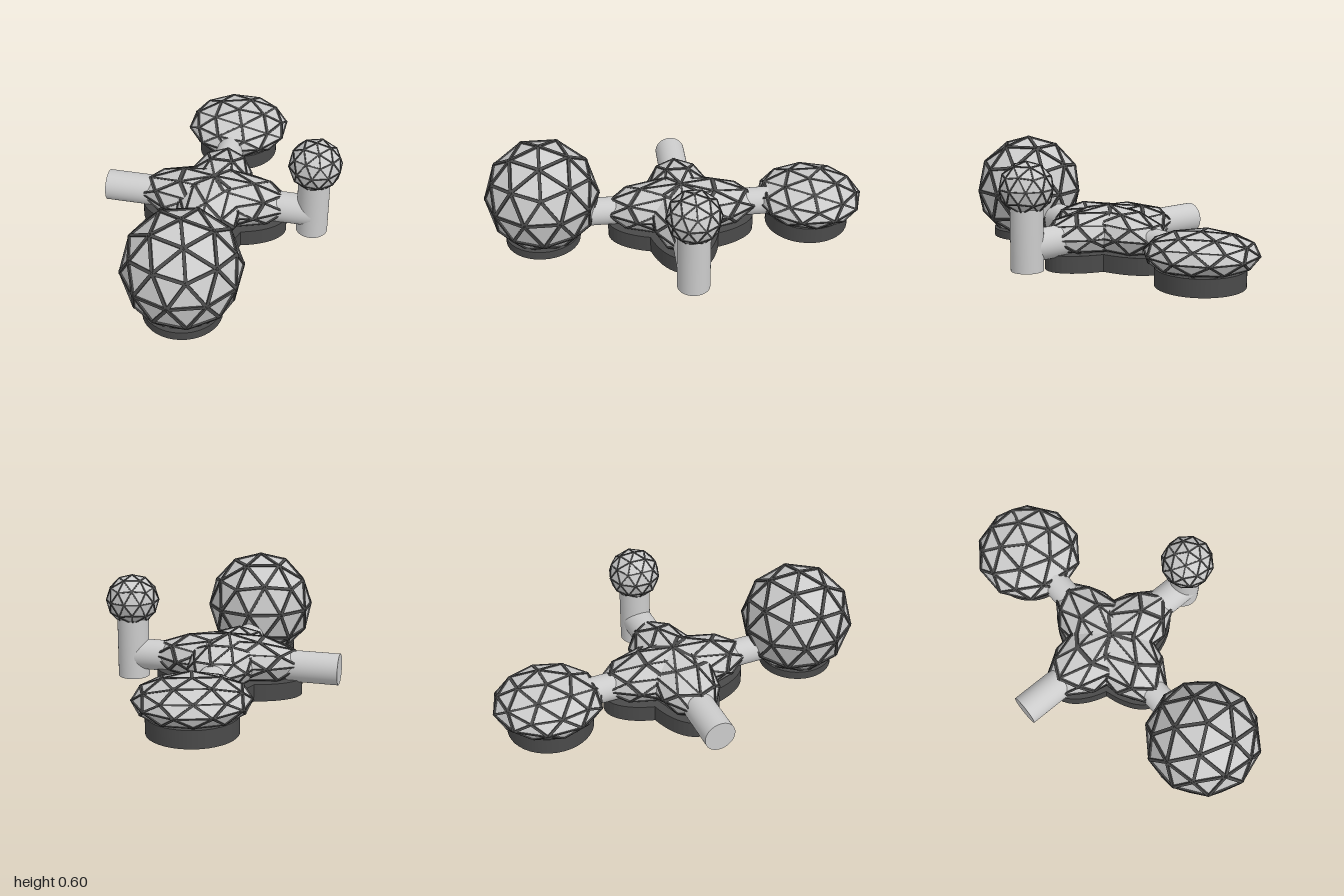
import * as THREE from 'three';
import { mergeGeometries } from 'three/addons/utils/BufferGeometryUtils.js';

const panelMat = new THREE.MeshStandardMaterial({ color: 0xcccccc, flatShading: true });
const tubeMat = new THREE.MeshStandardMaterial({ color: 0xcccccc });
const darkMat = new THREE.MeshStandardMaterial({ color: 0x4a4a4a });

// Unit geodesic sphere with a vertex at the top
function makePanels() {
  const geo = new THREE.IcosahedronGeometry(1, 1);
  geo.rotateZ(-Math.atan(2 / (1 + Math.sqrt(5))));
  return geo;
}

// One square bar along every edge of the unit sphere
function makeStruts(panels) {
  const p = new THREE.EdgesGeometry(panels, 1).attributes.position;
  const bars = [];
  const a = new THREE.Vector3(), b = new THREE.Vector3(), m = new THREE.Matrix4();
  for (let i = 0; i < p.count; i += 2) {
    a.fromBufferAttribute(p, i);
    b.fromBufferAttribute(p, i + 1);
    const along = b.clone().sub(a);
    const mid = a.clone().add(b).multiplyScalar(0.5);
    const length = along.length();
    along.normalize();
    const out = mid.clone().normalize();
    const side = new THREE.Vector3().crossVectors(along, out);
    const bar = new THREE.BoxGeometry(0.055, length, 0.05);
    m.makeBasis(side, along, out).setPosition(mid.addScaledVector(out, -0.022));
    bars.push(bar.applyMatrix4(m));
  }
  return mergeGeometries(bars);
}

const panelGeo = makePanels();
const strutGeo = makeStruts(panelGeo);

function dome(name, position, scale, turn = 0) {
  const group = new THREE.Group();
  group.name = name;
  const panels = new THREE.Mesh(panelGeo, panelMat);
  panels.name = name + 'Panels';
  panels.scale.setScalar(0.98);
  const struts = new THREE.Mesh(strutGeo, darkMat);
  struts.name = name + 'Struts';
  group.add(panels, struts);
  group.position.set(...position);
  group.scale.set(...scale);
  group.rotation.y = turn;
  return group;
}

// Cylinder between two points
function cylinder(name, from, to, radius, material) {
  const a = new THREE.Vector3(...from), b = new THREE.Vector3(...to);
  const dir = b.clone().sub(a);
  const mesh = new THREE.Mesh(new THREE.CylinderGeometry(radius, radius, dir.length(), 40), material);
  mesh.name = name;
  mesh.position.copy(a).add(b).multiplyScalar(0.5);
  mesh.quaternion.setFromUnitVectors(new THREE.Vector3(0, 1, 0), dir.normalize());
  return mesh;
}

// Four-lobed plinth: outline of two crossed ellipses
function crossBase(length, width, height) {
  const pts = [];
  for (let i = 0; i < 96; i++) {
    const t = (i / 96) * Math.PI * 2, c = Math.cos(t), s = Math.sin(t);
    const r = Math.max(1 / Math.hypot(c / length, s / width), 1 / Math.hypot(c / width, s / length));
    pts.push(new THREE.Vector2(c * r, s * r));
  }
  const geo = new THREE.ExtrudeGeometry(new THREE.Shape(pts), { depth: height, bevelEnabled: false });
  geo.rotateX(-Math.PI / 2);
  return new THREE.Mesh(geo, darkMat);
}

export function createModel() {
  const model = new THREE.Group();
  model.name = 'domeBase';

  // Central hub: two crossed stretched domes on a plinth
  const hub = [-0.04, 0.185, -0.025];
  const arm = [0.415, 0.135, 0.195];
  model.add(dome('hubSideArm', hub, arm), dome('hubLongArm', hub, arm, -Math.PI / 2));
  const plinth = crossBase(0.39, 0.2, 0.09);
  plinth.name = 'hubPlinth';
  plinth.position.set(-0.04, 0.02, -0.025);
  model.add(plinth);

  // Large front dome, low back dome and small tower dome
  model.add(
    dome('frontDome', [-0.037, 0.3, 0.7], [0.298, 0.299, 0.298]),
    cylinder('frontPlinth', [-0.037, 0.03, 0.71], [-0.037, 0.075, 0.71], 0.197, darkMat),
    dome('backDome', [-0.048, 0.19, -0.715], [0.285, 0.107, 0.285]),
    cylinder('backPlinth', [-0.048, 0.03, -0.712], [-0.048, 0.12, -0.712], 0.222, darkMat),
    dome('towerDome', [0.485, 0.465, -0.03], [0.14, 0.136, 0.14]),
    cylinder('tower', [0.485, 0.05, -0.03], [0.485, 0.37, -0.03], 0.083, tubeMat)
  );

  // Connecting tunnels
  model.add(
    cylinder('sideTunnel', [-0.623, 0.17, -0.027], [0.485, 0.17, -0.027], 0.081, tubeMat),
    cylinder('longTunnel', [-0.048, 0.174, -0.505], [-0.04, 0.174, 0.5], 0.073, tubeMat)
  );
  return model;
}
